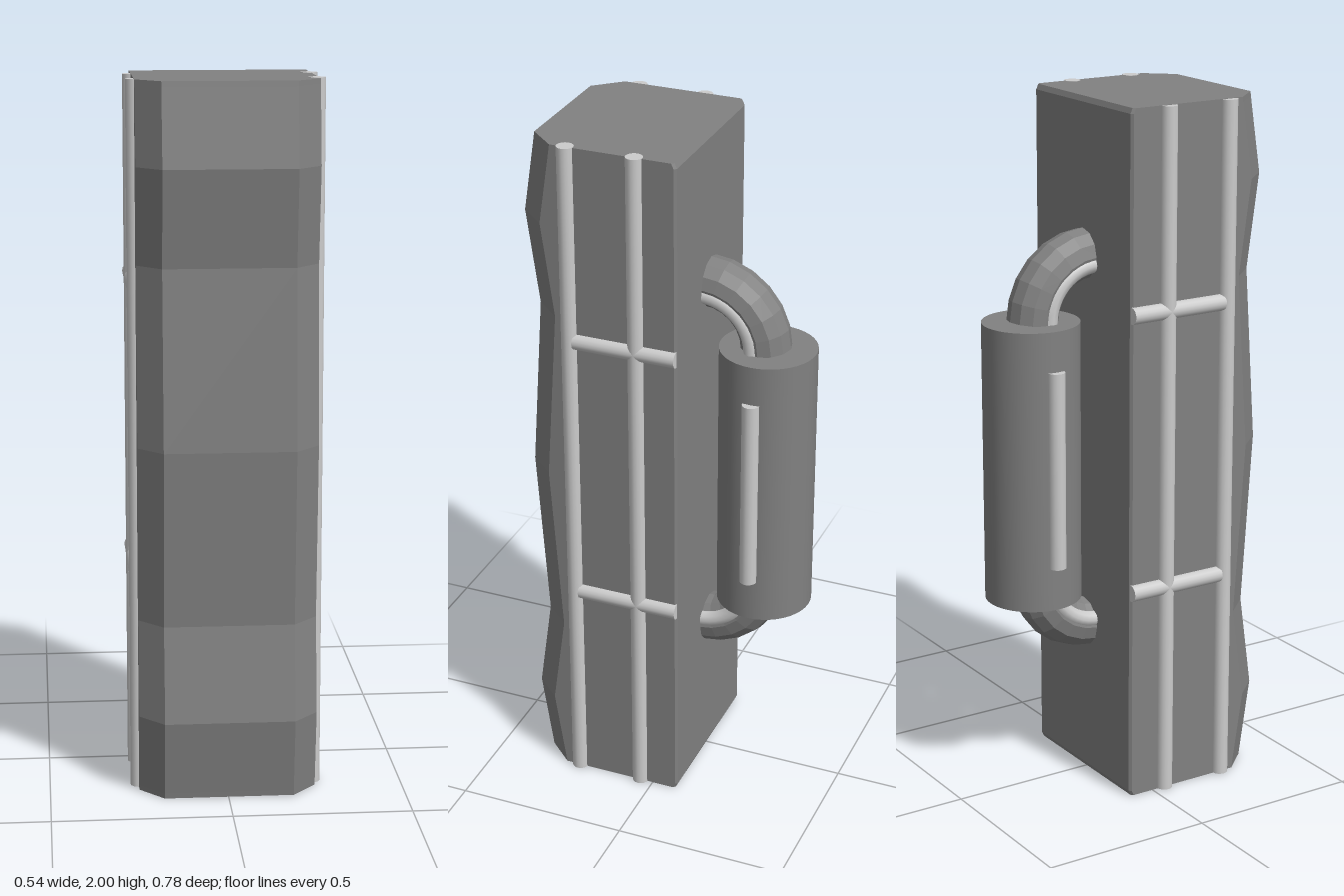
import * as THREE from 'three';

const light = new THREE.MeshStandardMaterial({ color: 0xcccccc });
const dark = new THREE.MeshStandardMaterial({ color: 0x818181 });
const darkFlat = new THREE.MeshStandardMaterial({ color: 0x818181, flatShading: true, side: THREE.DoubleSide });

function add(parent, name, geometry, material) {
  const mesh = new THREE.Mesh(geometry, material);
  mesh.name = name;
  parent.add(mesh);
  return mesh;
}

// Chamfered column: one cross-section per height, with a wavy front
function bodyGeometry() {
  // [height, front z, back z]
  const rows = [
    [0, 0.355, -0.073], [0.015, 0.357, -0.08], [0.23, 0.39, -0.08], [0.5, 0.352, -0.08],
    [1, 0.386, -0.08], [1.5, 0.352, -0.08], [1.77, 0.39, -0.08], [1.985, 0.357, -0.08], [2, 0.355, -0.073],
  ];
  const rings = rows.map(([y, front, back]) => [
    [0.25, back + 0.007], [0.243, back], [-0.243, back], [-0.25, back + 0.007],
    [-0.25, front - 0.075], [-0.182, front], [0.182, front], [0.25, front - 0.075],
  ].map(([x, z]) => [x, y, z]));
  const pos = [];
  const tri = (a, b, c) => pos.push(...a, ...b, ...c);
  const n = rings[0].length;
  for (let i = 0; i < rings.length - 1; i++) {
    for (let j = 0; j < n; j++) {
      const k = (j + 1) % n, lo = rings[i], hi = rings[i + 1];
      tri(lo[j], lo[k], hi[k]);
      tri(lo[j], hi[k], hi[j]);
    }
  }
  const bottom = rings[0], top = rings[rings.length - 1];
  for (let j = 1; j < n - 1; j++) {
    tri(top[0], top[j], top[j + 1]);
    tri(bottom[0], bottom[j + 1], bottom[j]);
  }
  const geometry = new THREE.BufferGeometry();
  geometry.setAttribute('position', new THREE.Float32BufferAttribute(pos, 3));
  geometry.computeVertexNormals();
  return geometry;
}

// Quarter-circle tube from the back of the body into the canister
function elbowGeometry(x, centreY, up, bend, radius, segments, sides) {
  const points = [];
  for (let i = 0; i <= 8; i++) {
    const a = (i / 8) * Math.PI / 2;
    points.push(new THREE.Vector3(x, centreY + up * bend * Math.cos(a), -0.07 - bend * Math.sin(a)));
  }
  return new THREE.TubeGeometry(new THREE.CatmullRomCurve3(points), segments, radius, sides);
}

export function createModel() {
  const model = new THREE.Group();
  model.name = 'wallColumn';
  add(model, 'body', bodyGeometry(), dark).position.x = 0.002;

  // Light rails on both sides; the left ones end just above the body, the right ones just below
  for (const [side, label, height] of [[1, 'left', 2.002], [-1, 'right', 1.998]]) {
    const rails = new THREE.Group();
    rails.name = label + 'Rails';
    model.add(rails);
    for (const z of [0.04, 0.237]) {
      add(rails, 'verticalRail', new THREE.CylinderGeometry(0.024, 0.024, height, 16), light)
        .position.set(side * 0.247, 1, z);
    }
    for (const y of [0.627, 1.433]) {
      const rail = add(rails, 'crossRail', new THREE.CylinderGeometry(0.024, 0.024, 0.3, 16), light);
      rail.rotation.x = Math.PI / 2;
      rail.position.set(side * 0.247, y, 0.072);
    }
  }

  // Canister on the back with a light strip on each side
  const canister = new THREE.Group();
  canister.name = 'canister';
  canister.position.set(-0.001, 0.985, -0.251);
  model.add(canister);
  add(canister, 'canisterBody', new THREE.CylinderGeometry(0.138, 0.138, 0.81, 40), dark);
  for (const side of [1, -1]) {
    add(canister, 'canisterStrip', new THREE.CylinderGeometry(0.025, 0.025, 0.57, 16), light)
      .position.set(side * 0.135, 0.005, 0);
  }

  // Pipes joining the canister to the body, with light strips along the inside of the bend
  for (const [label, centreY, up] of [['upper', 1.388, 1], ['lower', 0.64, -1]]) {
    add(model, label + 'Pipe', elbowGeometry(0, centreY, up, 0.175, 0.072, 6, 12), darkFlat);
    for (const side of [1, -1]) {
      add(model, label + 'PipeStrip', elbowGeometry(side * 0.052, centreY, up, 0.152, 0.024, 12, 10), light);
    }
  }
  return model;
}
